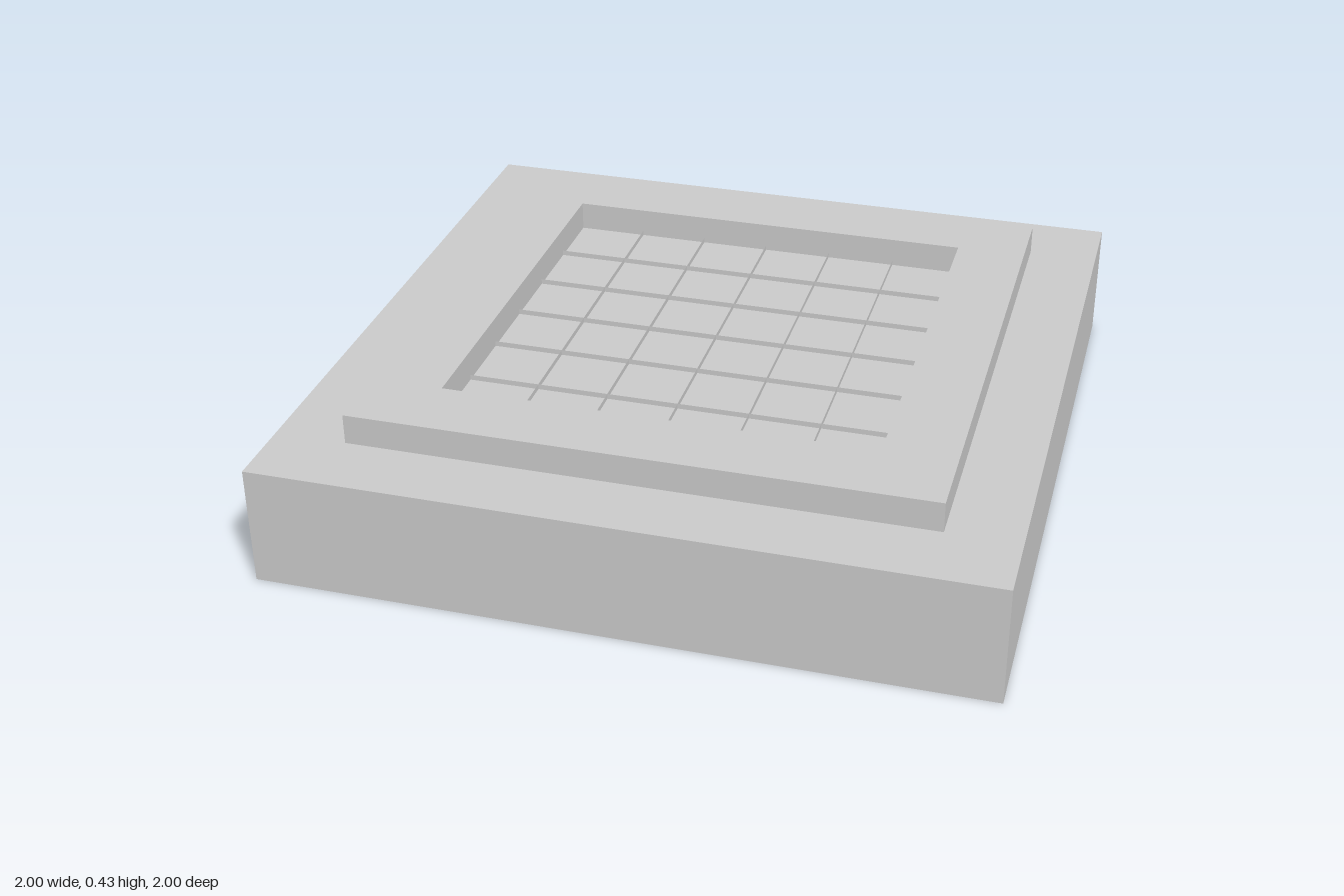
import * as THREE from 'three';

const BASE_TOP = 0.34;
const FRAME_TOP = 0.425;
const INNER = 0.6;   // half width of the opening
const OUTER = 0.8;   // half width of the raised frame
const CELL = 0.2;
const RIB = 0.015;   // height of the grid ribs

function square(half, Type) {
  return new Type([
    new THREE.Vector2(-half, -half),
    new THREE.Vector2(half, -half),
    new THREE.Vector2(half, half),
    new THREE.Vector2(-half, half),
  ]);
}

export function createModel() {
  const model = new THREE.Group();
  const solid = new THREE.MeshStandardMaterial({ color: 0xcccccc, flatShading: true });
  const thin = new THREE.MeshStandardMaterial({ color: 0xcccccc, side: THREE.DoubleSide });

  // Square slab; its top is also the floor of the recess
  const base = new THREE.Mesh(new THREE.BoxGeometry(2, BASE_TOP, 2), solid);
  base.name = 'base';
  base.position.y = BASE_TOP / 2;
  model.add(base);

  // Raised square frame around the recess
  const outline = square(OUTER, THREE.Shape);
  outline.holes.push(square(INNER, THREE.Path));
  const frameGeometry = new THREE.ExtrudeGeometry(outline, {
    depth: FRAME_TOP - BASE_TOP, bevelEnabled: false,
  });
  frameGeometry.rotateX(-Math.PI / 2);
  const frame = new THREE.Mesh(frameGeometry, solid);
  frame.name = 'frame';
  frame.position.y = BASE_TOP;
  model.add(frame);

  // Paper-thin upright ribs dividing the floor into six by six cells
  const grid = new THREE.Group();
  grid.name = 'floorGrid';
  const ribGeometry = new THREE.PlaneGeometry(2 * INNER, RIB);
  for (let i = -2; i <= 2; i++) {
    const across = new THREE.Mesh(ribGeometry, thin);
    across.name = 'crossRib';
    across.position.set(0, BASE_TOP + RIB / 2, i * CELL);
    const along = new THREE.Mesh(ribGeometry, thin);
    along.name = 'lengthRib';
    along.rotation.y = Math.PI / 2;
    along.position.set(i * CELL, BASE_TOP + RIB / 2, 0);
    grid.add(across, along);
  }
  model.add(grid);

  return model;
}
